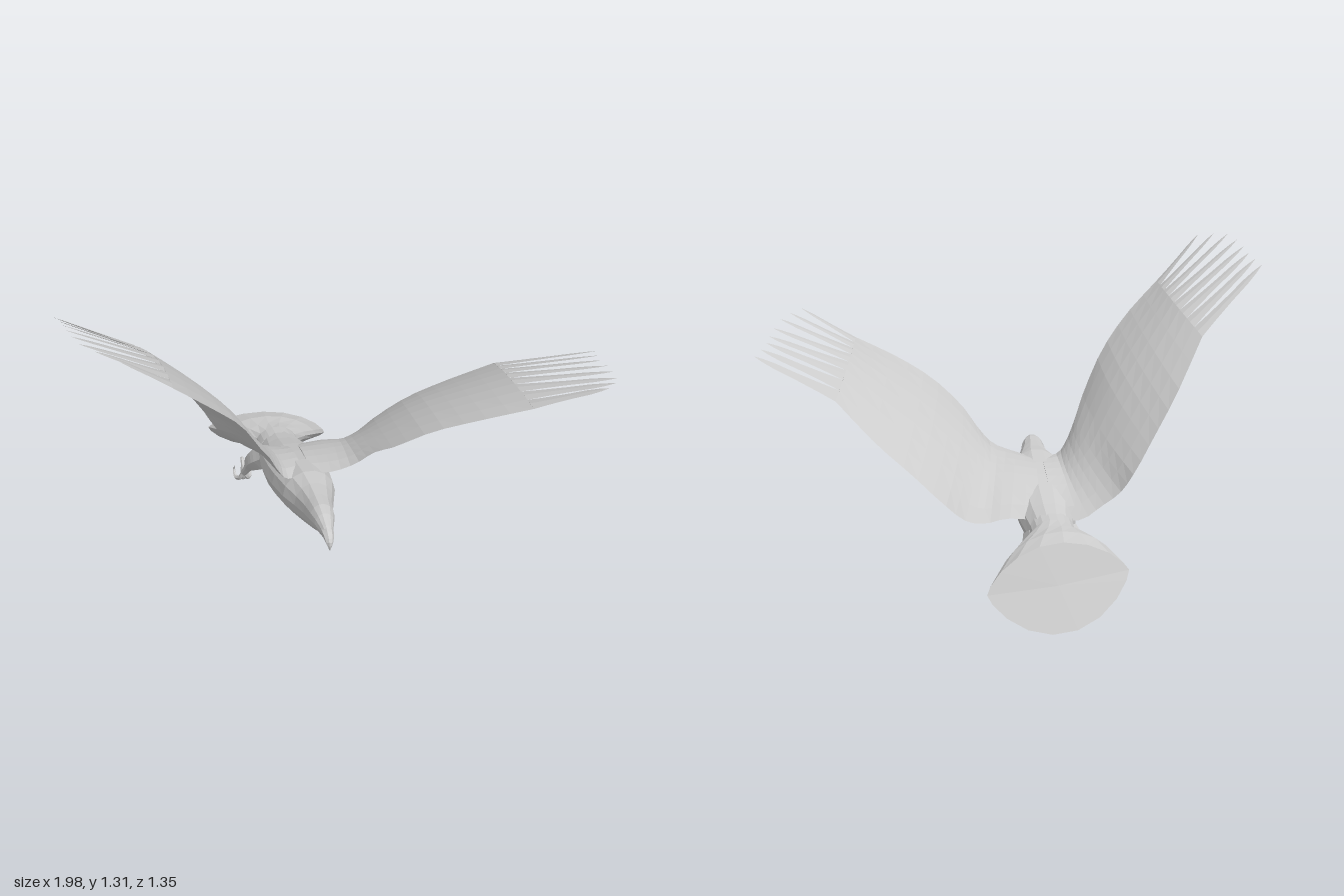
import * as THREE from 'three';

const V = (x, y, z) => new THREE.Vector3(x, y, z);
const curve = (pts) => new THREE.CatmullRomCurve3(pts.map((p) => V(...p)));
const material = new THREE.MeshStandardMaterial({ color: 0xcccccc, flatShading: true, side: THREE.DoubleSide });

function part(name, geometry) {
  const mesh = new THREE.Mesh(geometry, material);
  mesh.name = name;
  return mesh;
}

// Skin a list of closed rings (equal point counts) and cap both ends.
function loft(rings) {
  const n = rings[0].length, pts = rings.flat(), idx = [];
  for (let r = 0; r < rings.length - 1; r++) {
    for (let i = 0; i < n; i++) {
      const a = r * n + i, b = r * n + (i + 1) % n;
      idx.push(a, b, a + n, b, b + n, a + n);
    }
  }
  [0, rings.length - 1].forEach((r, end) => {
    const c = pts.length;
    pts.push(rings[r].reduce((s, p) => s.add(p), V(0, 0, 0)).divideScalar(n));
    for (let i = 0; i < n; i++) {
      const a = r * n + i, b = r * n + (i + 1) % n;
      idx.push(...(end ? [a, b, c] : [b, a, c]));
    }
  });
  // Turn the faces outward if the skin came out inside-out.
  let volume = 0;
  for (let i = 0; i < idx.length; i += 3) {
    volume += pts[idx[i]].dot(pts[idx[i + 1]].clone().cross(pts[idx[i + 2]]));
  }
  if (volume < 0) idx.reverse();
  const g = new THREE.BufferGeometry().setFromPoints(pts);
  g.setIndex(idx);
  g.computeVertexNormals();
  return g;
}

// Tube whose radius follows a list of values along its path.
function taper(path, radii, segments = 10, sides = 7) {
  const c = curve(path);
  const g = new THREE.TubeGeometry(c, segments, 1, sides);
  const pos = g.attributes.position, v = V(0, 0, 0);
  for (let i = 0; i < pos.count; i++) {
    const u = Math.floor(i / (sides + 1)) / segments;
    const f = u * (radii.length - 1), k = Math.min(Math.floor(f), radii.length - 2);
    const r = THREE.MathUtils.lerp(radii[k], radii[k + 1], f - k);
    const o = c.getPointAt(u);
    v.fromBufferAttribute(pos, i).sub(o).multiplyScalar(r).add(o);
    pos.setXYZ(i, v.x, v.y, v.z);
  }
  g.computeVertexNormals();
  return g;
}

// Head, neck and trunk: z, top, bottom, half width
function makeBody() {
  const stations = [
    [0.575, 0.458, 0.42, 0.012], [0.55, 0.472, 0.412, 0.022], [0.5, 0.489, 0.403, 0.036],
    [0.45, 0.496, 0.376, 0.047], [0.38, 0.491, 0.34, 0.056], [0.3, 0.487, 0.306, 0.075],
    [0.22, 0.488, 0.285, 0.1], [0.1, 0.465, 0.26, 0.115], [0, 0.44, 0.24, 0.12],
    [-0.1, 0.41, 0.225, 0.115], [-0.2, 0.375, 0.205, 0.1], [-0.28, 0.352, 0.195, 0.085],
    [-0.33, 0.335, 0.23, 0.06],
  ];
  return loft(stations.map(([z, top, bottom, w]) => {
    const cx = -0.11 - 0.035 * THREE.MathUtils.clamp((0.3 - z) / 0.6, 0, 1);
    return Array.from({ length: 14 }, (_, i) => {
      const a = (i / 14) * Math.PI * 2;
      return V(cx + w * Math.cos(a), (top + bottom) / 2 + (top - bottom) / 2 * Math.sin(a), z);
    });
  }));
}

// Fanned tail: each station has a centre and its side, upper and lower reach
function makeTail() {
  const stations = [
    [[-0.145, 0.29, -0.26], [0.085, 0, 0], [0, 0.065, 0], [0, -0.06, 0], 1],
    [[-0.15, 0.275, -0.33], [0.083, 0, 0], [0, 0.07, 0], [0, -0.05, 0], 1],
    [[-0.15, 0.265, -0.38], [0.13, -0.012, 0], [0, 0.07, 0], [0, -0.06, 0], 1.2],
    [[-0.15, 0.235, -0.46], [0.19, -0.03, 0], [0.01, 0.093, 0.02], [-0.01, -0.108, -0.05], 1.4],
    [[-0.15, 0.18, -0.57], [0.25, -0.045, 0], [0.02, 0.125, 0.06], [-0.02, -0.15, -0.11], 1.5],
  ];
  return loft(stations.map(([c, side, up, down, power]) =>
    Array.from({ length: 18 }, (_, i) => {
      const a = (i / 18) * Math.PI * 2, s = Math.sin(a);
      return V(...c).addScaledVector(V(...side), Math.cos(a))
        .addScaledVector(V(...(s > 0 ? up : down)), Math.abs(s) ** power);
    })));
}

// Wing between a leading and a trailing edge, ending in separate long feathers
function makeWing(name, dir, lead, trail, tips) {
  const group = new THREE.Group();
  group.name = name;
  const L = curve(lead), T = curve(trail), tipCurve = curve(tips);
  const feathers = 8, spans = 16;
  const mid = (s) => L.getPoint(s).add(T.getPoint(s)).multiplyScalar(0.5);
  const normal = (s) => {
    const span = mid(Math.min(s + 0.02, 1)).sub(mid(Math.max(s - 0.02, 0)));
    const n = span.cross(T.getPoint(s).sub(L.getPoint(s))).normalize();
    return n.dot(V(-dir, 1, 0)) < 0 ? n.negate() : n;
  };
  const surface = (s, t, side) => {
    const thick = 0.003 + 0.022 * (1 - s) ** 1.5;
    const bulge = Math.sin(Math.PI * t);
    return L.getPoint(s).lerp(T.getPoint(s), t)
      .addScaledVector(normal(s), 0.03 * bulge + side * thick * Math.sqrt(Math.max(bulge, 0)));
  };
  const rings = [];
  for (let j = 0; j <= spans; j++) {
    const ring = [];
    for (let i = 0; i <= feathers; i++) ring.push(surface(j / spans, i / feathers, 1));
    for (let i = feathers - 1; i > 0; i--) ring.push(surface(j / spans, i / feathers, -1));
    rings.push(ring);
  }
  group.add(part('wingSurface', loft(rings)));

  const n = normal(1);
  for (let i = 0; i < feathers; i++) {
    const a = surface(1, i / feathers, 0), b = surface(1, (i + 1) / feathers, 0);
    const base = a.clone().add(b).multiplyScalar(0.5), half = b.clone().sub(a).multiplyScalar(0.5);
    const tip = tipCurve.getPoint(i / (feathers - 1));
    const profile = [[0, 1], [0.2, 0.78], [0.5, 0.56], [0.75, 0.48], [0.9, 0.28], [1, 0.02]];
    group.add(part('flightFeather', loft(profile.map(([u, w]) => {
      const c = base.clone().lerp(tip, u);
      return [
        c.clone().addScaledVector(half, -w), c.clone().addScaledVector(n, 0.004 * w),
        c.clone().addScaledVector(half, w), c.clone().addScaledVector(n, -0.004 * w),
      ];
    }))));
  }
  return group;
}

// Feathered thigh, shank and a foot with curled talons
function makeLeg(name, hip, knee, ankle) {
  const group = new THREE.Group();
  group.name = name;
  group.add(part('thighAndShank', taper([hip, knee, ankle], [0.06, 0.054, 0.04, 0.018, 0.014])));
  const toe = (offsets) => taper(
    [[0, 0, 0], ...offsets].map((o) => o.map((v, k) => v + ankle[k])), [0.013, 0.01, 0.009, 0.006, 0.001], 12, 6);
  for (const dx of [-0.03, 0, 0.03]) {
    group.add(part('toe', toe([
      [dx * 0.5, -0.032, -0.012], [dx, -0.042, -0.04], [dx * 1.1, -0.02, -0.062], [dx, 0.004, -0.05],
    ])));
  }
  group.add(part('hindToe', toe([[0, 0.025, -0.008], [0, 0.047, -0.025], [0, 0.042, -0.05], [0, 0.022, -0.056]])));
  return group;
}

export function createModel() {
  const model = new THREE.Group();
  model.name = 'bird';
  model.add(part('body', makeBody()), part('tail', makeTail()));

  // Hooked beak
  model.add(part('upperBeak', taper(
    [[-0.11, 0.444, 0.53], [-0.11, 0.443, 0.57], [-0.11, 0.428, 0.593], [-0.11, 0.398, 0.6]],
    [0.025, 0.022, 0.015, 0.002])));
  model.add(part('lowerBeak', taper(
    [[-0.11, 0.416, 0.52], [-0.11, 0.412, 0.56], [-0.11, 0.409, 0.588]], [0.014, 0.01, 0.002])));

  model.add(makeWing('leftWing', 1,
    [[-0.1, 0.46, 0.2], [-0.02, 0.48, 0.23], [0.06, 0.51, 0.24], [0.12, 0.57, 0.27], [0.18, 0.64, 0.35],
      [0.3, 0.74, 0.43], [0.45, 0.82, 0.51], [0.62, 0.89, 0.58]],
    [[-0.1, 0.31, -0.21], [0.02, 0.32, -0.22], [0.1, 0.305, -0.23], [0.17, 0.32, -0.25], [0.25, 0.385, -0.26],
      [0.37, 0.49, -0.22], [0.5, 0.59, -0.15], [0.66, 0.73, -0.02]],
    [[0.85, 1.0, 0.67], [0.92, 0.975, 0.58], [0.95, 0.93, 0.43], [0.96, 0.9, 0.31], [0.99, 0.87, 0.2]]));

  model.add(makeWing('rightWing', -1,
    [[-0.13, 0.46, 0.2], [-0.2, 0.47, 0.23], [-0.235, 0.52, 0.24], [-0.27, 0.6, 0.27], [-0.31, 0.69, 0.35],
      [-0.39, 0.85, 0.43], [-0.5, 0.99, 0.52], [-0.63, 1.12, 0.58]],
    [[-0.16, 0.31, -0.21], [-0.26, 0.32, -0.24], [-0.33, 0.365, -0.23], [-0.4, 0.42, -0.24], [-0.45, 0.5, -0.26],
      [-0.52, 0.62, -0.23], [-0.61, 0.77, -0.17], [-0.73, 0.97, -0.01]],
    [[-0.81, 1.3, 0.67], [-0.91, 1.315, 0.59], [-0.95, 1.285, 0.44], [-0.965, 1.25, 0.31], [-0.99, 1.22, 0.2]]));

  model.add(makeLeg('leftLeg', [-0.1, 0.26, -0.25], [-0.08, 0.18, -0.31], [-0.07, 0.055, -0.385]));
  model.add(makeLeg('rightLeg', [-0.19, 0.27, -0.25], [-0.24, 0.205, -0.31], [-0.28, 0.1, -0.385]));
  return model;
}
